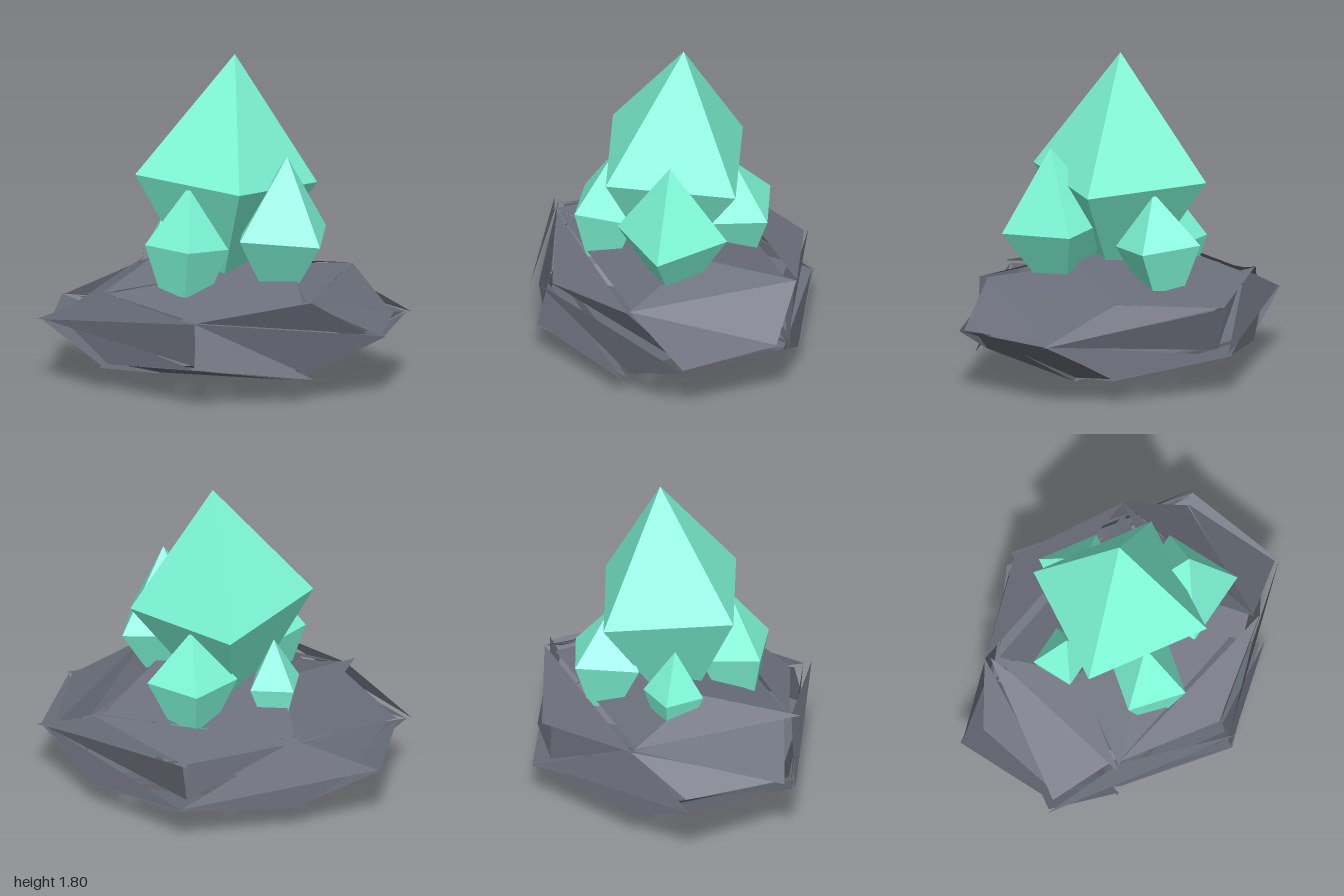
import * as THREE from 'three';

// small seeded generator, 0..1
function seeded(seed) {
  let s = seed;
  return () => {
    s = (s * 16807) % 2147483647;
    return s / 2147483647;
  };
}

const crystalMat = new THREE.MeshStandardMaterial({ color: 0x7ffad9, flatShading: true });
// the cracked shell is open, so its inside shows too
const rockMat = new THREE.MeshStandardMaterial({
  color: 0x6b6f7b, flatShading: true, side: THREE.DoubleSide,
});

// four-sided crystal: pointed top, widest at the girdle, tapering into the rock
// girdle: centre of the widest ring, tip: apex, corner: [dx, dz] of one girdle corner
function crystal(name, girdle, tip, corner, taper) {
  const mid = new THREE.Vector3(...girdle);
  const axis = new THREE.Vector3(...tip).sub(mid);
  const height = axis.length();
  const radius = Math.hypot(...corner);
  const depth = mid.y - 0.5;
  const profile = [
    [0, -depth], [radius * taper, -depth], [radius, 0], [0, height],
  ].map(([x, y]) => new THREE.Vector2(x, y));
  const geo = new THREE.LatheGeometry(profile, 4, Math.atan2(corner[0], corner[1]));
  const mesh = new THREE.Mesh(geo, crystalMat);
  mesh.name = name;
  mesh.position.copy(mid);
  mesh.quaternion.setFromUnitVectors(new THREE.Vector3(0, 1, 0), axis.normalize());
  return mesh;
}

// flattened dodecahedron whose triangles are cracked apart:
// every triangle corner is pulled inward by its own amount
function crackedRock() {
  const geo = new THREE.DodecahedronGeometry(1);
  const pos = geo.attributes.position;
  const rand = seeded(4217);
  for (let i = 0; i < pos.count; i++) {
    const f = 0.84 + 0.16 * rand();
    pos.setXYZ(i, pos.getX(i) * f * 1.07, pos.getY(i) * f * 0.38, pos.getZ(i) * f * 0.89);
  }
  geo.computeVertexNormals();
  const mesh = new THREE.Mesh(geo, rockMat);
  mesh.name = 'rockBase';
  mesh.position.y = 0.355;
  return mesh;
}

export function createModel() {
  const group = new THREE.Group();
  group.name = 'crystalCluster';
  group.add(
    crackedRock(),
    crystal('mainCrystal', [0, 1.12, -0.01], [0.04, 1.81, -0.05], [0.18, 0.47], 0.2),
    crystal('frontCrystal', [-0.145, 0.8, 0.315], [-0.13, 1.15, 0.285], [0.055, 0.225], 0.5),
    crystal('leftCrystal', [0.35, 0.86, 0.135], [0.38, 1.3, 0.16], [0.25, 0.185], 0.27),
    crystal('backCrystal', [0.07, 0.775, -0.35], [0.08, 1.07, -0.325], [-0.09, -0.23], 0.45),
    crystal('rightCrystal', [-0.335, 0.71, -0.13], [-0.325, 0.97, -0.115], [-0.135, -0.1], 0.5),
  );
  return group;
}
